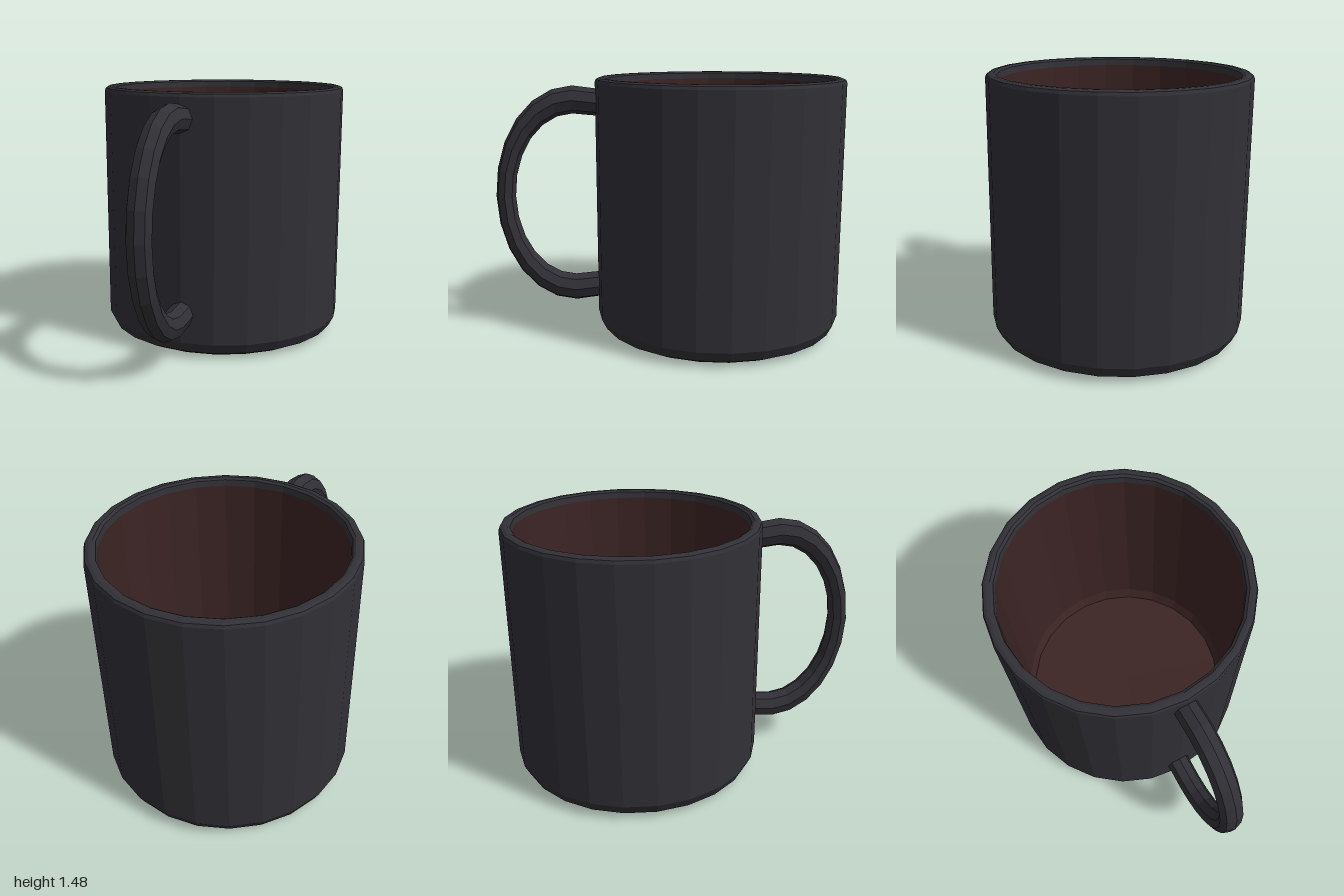
import * as THREE from 'three';

const SIDES = 24;

function lathe(points, material, name) {
  const geo = new THREE.LatheGeometry(points.map(([r, y]) => new THREE.Vector2(r, y)), SIDES);
  const mesh = new THREE.Mesh(geo, material);
  mesh.name = name;
  return mesh;
}

export function createModel() {
  const glaze = new THREE.MeshStandardMaterial({ color: 0x303036, flatShading: true });
  glaze.name = 'charcoal glaze';
  const lining = new THREE.MeshStandardMaterial({ color: 0x3c2424, flatShading: true });
  lining.name = 'dark brown lining';

  const model = new THREE.Group();
  model.name = 'mug';

  const cup = new THREE.Group();
  cup.name = 'cup';
  cup.position.z = -0.29;
  model.add(cup);

  // Outer shell: base, chamfered foot, wall and rolled rim
  cup.add(lathe([
    [0, 0], [0.22, 0], [0.62, 0.006], [0.68, 0.036], [0.71, 0.095],
    [0.71, 1.45], [0.703, 1.467], [0.685, 1.475], [0.665, 1.475], [0.65, 1.465], [0.645, 1.43],
  ], glaze, 'outerShell'));

  // Inner wall and floor
  cup.add(lathe([
    [0.645, 1.43], [0.635, 0.16], [0.61, 0.09], [0, 0.08],
  ], lining, 'innerLining'));

  // Handle: squashed ring arc opening towards the cup
  const geo = new THREE.TorusGeometry(0.554, 0.079, 8, 14, THREE.MathUtils.degToRad(210));
  geo.rotateZ(THREE.MathUtils.degToRad(-105));
  geo.rotateY(-Math.PI / 2);
  geo.scale(0.88, 1, 0.71);
  geo.translate(0, 0.797, 0.55);
  // Push both ends into the cup wall
  const pos = geo.attributes.position;
  for (let i = 0; i < pos.count; i++) {
    if (pos.getZ(i) < 0.48) pos.setZ(i, 0.38);
  }
  geo.computeVertexNormals();
  const handle = new THREE.Mesh(geo, glaze);
  handle.name = 'handle';
  model.add(handle);

  return model;
}
